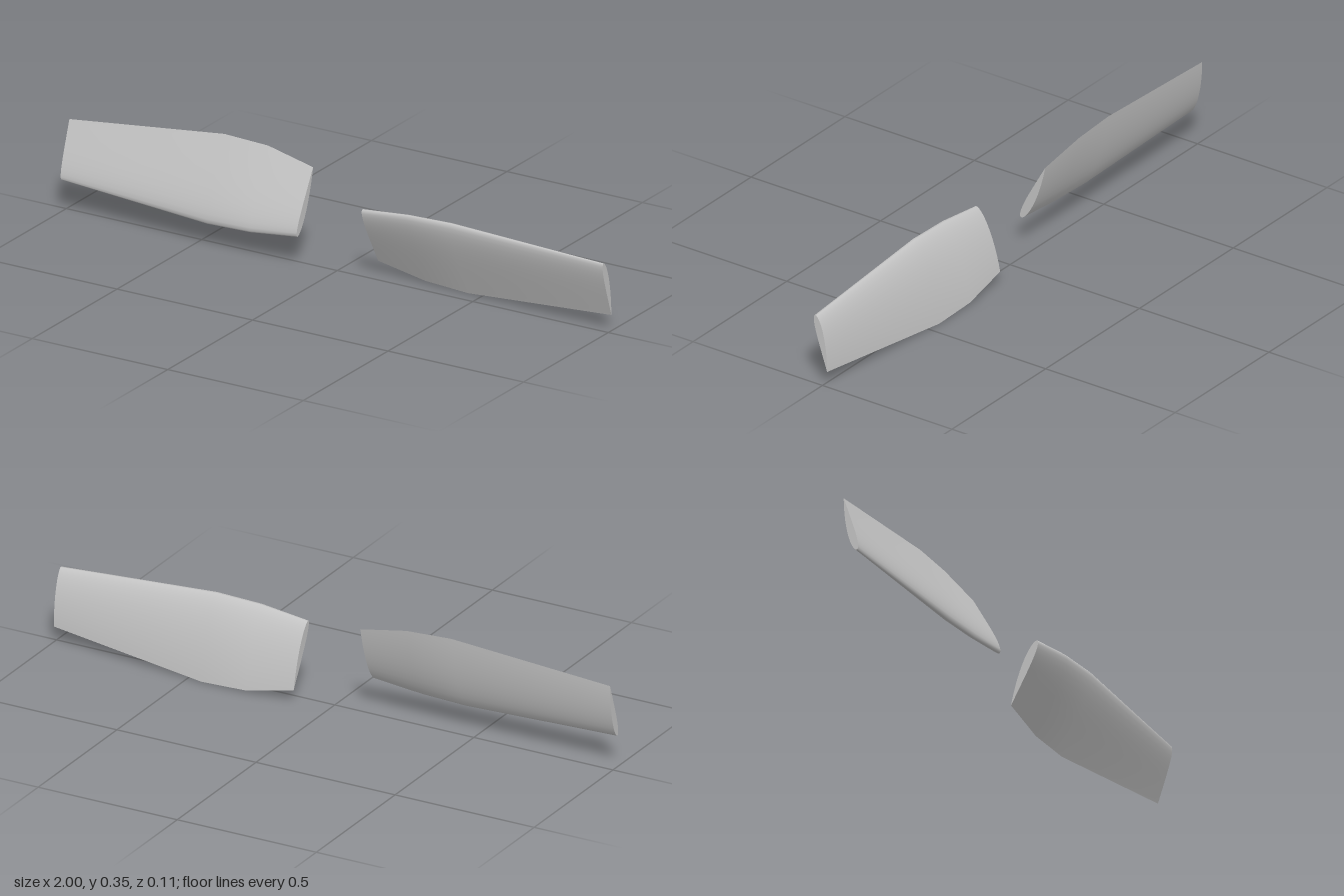
import * as THREE from 'three';

// Span stations: x, leading edge (z, y), trailing edge (z, y)
const STATIONS = [
  [0.12, 0.045, 0.246, -0.049, 0.043],
  [0.29, 0.050, 0.264, -0.056, 0.008],
  [0.45, 0.049, 0.269, -0.053, 0.001],
  [1.00, 0.029, 0.242, -0.018, 0.054],
];
const HALF = 14; // points per airfoil side
const N = HALF * 2; // ring runs trailing edge -> back -> leading edge -> front -> trailing edge

// Airfoil section point j of a station
function sectionPoint([x, lz, ly, tz, ty], j) {
  const back = j <= HALF;
  const t = (1 + Math.cos((Math.PI * j) / HALF)) / 2; // 1 at trailing edge, 0 at leading edge
  const thick = 0.6 * (0.2969 * Math.sqrt(t) - 0.126 * t - 0.3516 * t * t + 0.2843 * t ** 3 - 0.1036 * t ** 4);
  const camber = 0.08 * t * (1 - t);
  const off = camber + (back ? 1 : -1) * thick * 1.15;
  const dz = tz - lz, dy = ty - ly;
  // offset perpendicular to the chord, towards the back
  return [x, ly + dy * t - dz * off, lz + dz * t + dy * off];
}

function toGeometry(points, index) {
  const g = new THREE.BufferGeometry();
  g.setAttribute('position', new THREE.Float32BufferAttribute(points.flat(), 3));
  g.setIndex(index);
  g.computeVertexNormals();
  return g;
}

const ring = (s) => Array.from({ length: N + 1 }, (_, j) => sectionPoint(s, j));

// Smooth skin lofted through the stations, open seam at the trailing edge
function skinGeometry() {
  const index = [], row = N + 1;
  for (let i = 0; i < STATIONS.length - 1; i++) {
    for (let j = 0; j < N; j++) {
      const a = i * row + j, c = a + row;
      index.push(a, a + 1, c, a + 1, c + 1, c);
    }
  }
  return toGeometry(STATIONS.flatMap(ring), index);
}

// Flat end closing a section, made of strips between its back and front
function capGeometry(station, outward) {
  const index = [];
  for (let j = 0; j < HALF; j++) {
    const a = j, b = j + 1, c = N - j - 1, d = N - j;
    for (const [p, q, r] of [[a, b, c], [a, c, d]]) {
      index.push(...(outward ? [p, q, r] : [p, r, q]));
    }
  }
  return toGeometry(ring(station), index);
}

export function createModel() {
  const model = new THREE.Group();
  model.name = 'propellerBlades';
  const grey = new THREE.MeshStandardMaterial({ color: 0xc4c4c4 });
  grey.name = 'light grey';

  const parts = {
    skin: skinGeometry(),
    rootCap: capGeometry(STATIONS[0], false),
    tipCap: capGeometry(STATIONS[STATIONS.length - 1], true),
  };

  // The second blade is the first turned half a turn about the hub axis
  for (const [name, turn] of [['leftBlade', 0], ['rightBlade', Math.PI]]) {
    const blade = new THREE.Group();
    blade.name = name;
    for (const [part, geometry] of Object.entries(parts)) {
      const mesh = new THREE.Mesh(geometry, grey);
      mesh.name = part;
      blade.add(mesh);
    }
    blade.rotation.z = turn;
    if (turn) blade.position.y = 0.35;
    model.add(blade);
  }
  return model;
}
